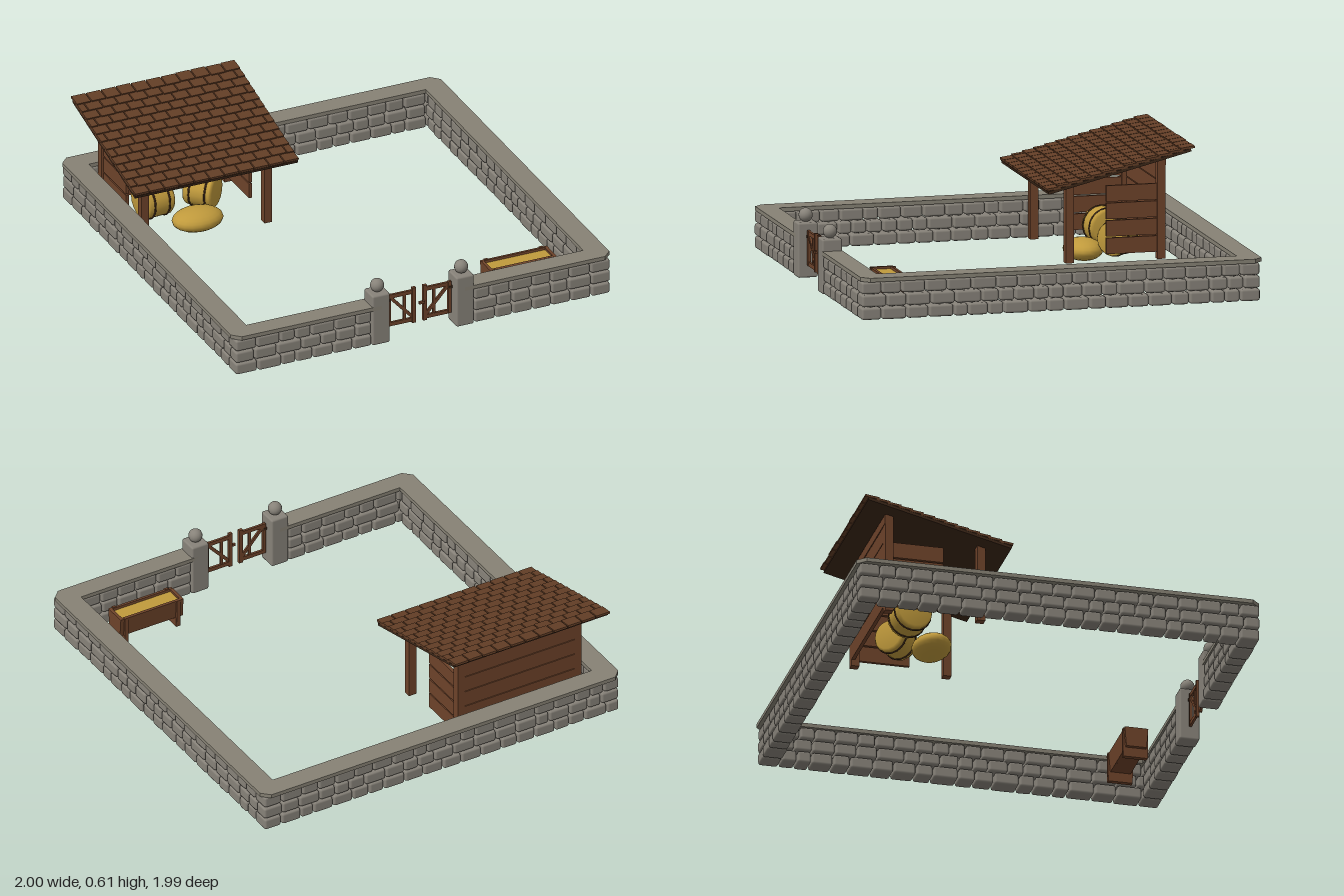
import * as THREE from 'three';
import { RoundedBoxGeometry } from 'three/addons/geometries/RoundedBoxGeometry.js';

const mat = (name, color) => {
  const m = new THREE.MeshStandardMaterial({ color });
  m.name = name;
  return m;
};

export function createModel() {
  const root = new THREE.Group();
  root.name = 'walledYard';
  const stone = mat('stone', 0x88837a);
  const capStone = mat('capStone', 0x878275);
  const wood = mat('wood', 0x6e432a);
  const roofWood = mat('roofWood', 0x633e26);
  const darkWood = mat('darkWood', 0x3c2718);
  const straw = mat('straw', 0xc09a3c);

  let seed = 7;
  const rand = () => (seed = (seed * 16807) % 2147483647) / 2147483647;

  const add = (parent, name, geo, material, x = 0, y = 0, z = 0) => {
    const m = new THREE.Mesh(geo, material);
    m.name = name;
    m.position.set(x, y, z);
    parent.add(m);
    return m;
  };
  const box = (parent, name, material, w, h, d, x, y, z) =>
    add(parent, name, new THREE.BoxGeometry(w, h, d), material, x, y, z);
  const group = (name, parent = root) => {
    const g = new THREE.Group();
    g.name = name;
    parent.add(g);
    return g;
  };

  // One course of rounded stones between a and b, along x or along z
  const course = (parent, a, b, y, fixed, alongZ) => {
    const n = Math.round((b - a) / 0.098);
    const widths = Array.from({ length: n }, () => 0.7 + rand() * 0.6);
    const k = (b - a) / widths.reduce((s, w) => s + w, 0);
    let p = a;
    for (const w0 of widths) {
      const w = w0 * k;
      const geo = new RoundedBoxGeometry(w - 0.005, 0.059, 0.092 + rand() * 0.008, 1, 0.012);
      const m = add(parent, 'wallStone', geo, stone, alongZ ? fixed : p + w / 2, y, alongZ ? p + w / 2 : fixed);
      if (alongZ) m.rotation.y = Math.PI / 2;
      p += w;
    }
  };

  // Four walls of three courses, corners interlocking
  const walls = group('walls');
  for (let i = 0; i < 3; i++) {
    const y = 0.074 + i * 0.063;
    const ex = i % 2 ? 0.89 : 0.99;
    const ez = i % 2 ? 0.99 : 0.89;
    course(walls, -ex, ex, y, -0.94, false);
    course(walls, -ex, -0.27, y, 0.94, false);
    course(walls, 0.27, ex, y, 0.94, false);
    for (const x of [-0.94, 0.94]) course(walls, -ez, ez, y, x, true);
  }

  // Flat coping, open at the gate, with clipped outer corners
  const outline = [
    [0.22, 0.99], [0.96, 0.99], [1, 0.95], [1, -0.96], [0.96, -1], [-0.96, -1], [-1, -0.96], [-1, 0.95],
    [-0.96, 0.99], [-0.22, 0.99], [-0.22, 0.89], [-0.89, 0.89], [-0.89, -0.895], [0.89, -0.895], [0.89, 0.89], [0.22, 0.89],
  ].map(([x, z]) => new THREE.Vector2(x, -z));
  const coping = new THREE.ExtrudeGeometry(new THREE.Shape(outline), { depth: 0.02, bevelEnabled: false });
  coping.rotateX(-Math.PI / 2);
  add(walls, 'coping', coping, capStone, 0, 0.231, 0);

  // Gate posts with ball finials, and the gate leaves
  for (const s of [-1, 1]) {
    const post = group('gatePost');
    post.position.set(s * 0.222, 0, 0.94);
    add(post, 'postShaft', new RoundedBoxGeometry(0.094, 0.268, 0.1, 1, 0.01), stone, 0, 0.176, 0);
    add(post, 'postBall', new THREE.SphereGeometry(0.034, 16, 12), stone, 0, 0.341, 0);

    const gate = group('gateLeaf');
    gate.position.set(s * 0.093, 0.19, 0.94);
    box(gate, 'gateStile', wood, 0.02, 0.19, 0.016, -s * 0.064, 0, 0);
    box(gate, 'gateStile', wood, 0.016, 0.17, 0.014, s * 0.066, 0, 0);
    for (const y of [-0.077, 0.073]) box(gate, 'gateRail', wood, 0.142, 0.02, 0.012, 0, y, 0);
    box(gate, 'gateBrace', wood, 0.19, 0.016, 0.01, 0, 0, 0).rotation.z = s * 0.84;
    box(gate, 'gateStrut', wood, 0.014, 0.14, 0.009, -s * 0.015, 0, 0);
    box(gate, 'gateHinge', darkWood, 0.02, 0.012, 0.02, s * 0.07, 0.055, 0);
  }
  box(root, 'gateLatch', wood, 0.03, 0.012, 0.012, 0.008, 0.2, 0.953);

  // Shelter frame and plank walls
  const shed = group('shelter');
  for (const x of [-0.85, -0.2]) {
    box(shed, 'frontPost', wood, 0.04, 0.395, 0.04, x, 0.245, -0.36);
    box(shed, 'backPost', wood, 0.04, 0.505, 0.04, x, 0.3, -0.815);
    for (let i = 0; i < 4; i++)
      box(shed, 'sidePlank', wood, 0.016, 0.078, 0.25, x, 0.12 + i * 0.085, -0.67);
  }
  for (let i = 0; i < 5; i++)
    box(shed, 'backPlank', wood, 0.69, 0.081, 0.018, -0.525, 0.12 + i * 0.085, -0.826);
  box(shed, 'backBeam', wood, 0.69, 0.046, 0.022, -0.525, 0.527, -0.826);

  // Sloping roof with staggered shingles
  const roof = group('roof', shed);
  roof.position.set(-0.525, 0.506, -0.583);
  roof.rotation.x = 0.245;
  box(roof, 'roofDeck', darkWood, 0.86, 0.014, 0.73, 0, -0.008, 0);
  const rows = 13, cols = 11, pitchX = 0.868 / cols, pitchZ = 0.742 / rows;
  for (let r = 0; r < rows; r++) {
    const shift = r % 2 ? 0.5 : 0;
    for (let c = 0; c < cols + shift * 2; c++) {
      const x0 = Math.max(-0.434, -0.434 + (c - shift) * pitchX);
      const x1 = Math.min(0.434, -0.434 + (c + 1 - shift) * pitchX);
      const len = pitchZ + 0.012;
      const z1 = -0.371 + (r + 1) * pitchZ - rand() * 0.004;
      const tile = box(roof, 'shingle', roofWood, x1 - x0 - 0.006, 0.011, len, (x0 + x1) / 2, 0.006, z1 - len / 2);
      tile.rotation.x = -0.11;
    }
  }

  // Straw bales with bindings, and a loose heap
  const bale = (x, y, z, turn, r, len) => {
    const b = group('strawBale');
    b.position.set(x, y, z);
    b.rotation.y = turn;
    const profile = [[0, -0.5], [0.88, -0.5], [1, -0.4], [1, 0.4], [0.88, 0.5], [0, 0.5]]
      .map(([pr, h]) => new THREE.Vector2(pr * r, h * len));
    const body = add(b, 'baleBody', new THREE.LatheGeometry(profile, 16), straw);
    body.rotation.z = Math.PI / 2;
    for (const s of [-1, 1])
      add(b, 'baleBinding', new THREE.TorusGeometry(r, 0.005, 6, 20), darkWood, s * len * 0.27, 0, 0).rotation.y = Math.PI / 2;
  };
  bale(-0.66, 0.13, -0.66, 0.1, 0.092, 0.15);
  bale(-0.4, 0.12, -0.66, -0.8, 0.083, 0.15);
  const heap = add(root, 'strawHeap', new THREE.SphereGeometry(1, 18, 12), straw, -0.495, 0.055, -0.51);
  heap.scale.set(0.13, 0.055, 0.095);

  // Feeding trough
  const trough = group('trough');
  trough.position.set(0.615, 0, 0.745);
  box(trough, 'troughFloor', wood, 0.34, 0.014, 0.085, 0, 0.107, 0);
  for (const s of [-1, 1]) {
    box(trough, 'troughSide', wood, 0.35, 0.1, 0.014, 0, 0.15, s * 0.047).rotation.x = s * 0.08;
    box(trough, 'troughEnd', wood, 0.016, 0.1, 0.1, s * 0.168, 0.15, 0);
    box(trough, 'troughFoot', wood, 0.024, 0.05, 0.12, s * 0.145, 0.077, 0);
    for (const t of [-1, 1]) box(trough, 'troughCleat', wood, 0.02, 0.12, 0.012, s * 0.145, 0.142, t * 0.056);
  }
  box(trough, 'troughFeed', straw, 0.322, 0.075, 0.083, 0, 0.151, 0);
  return root;
}
